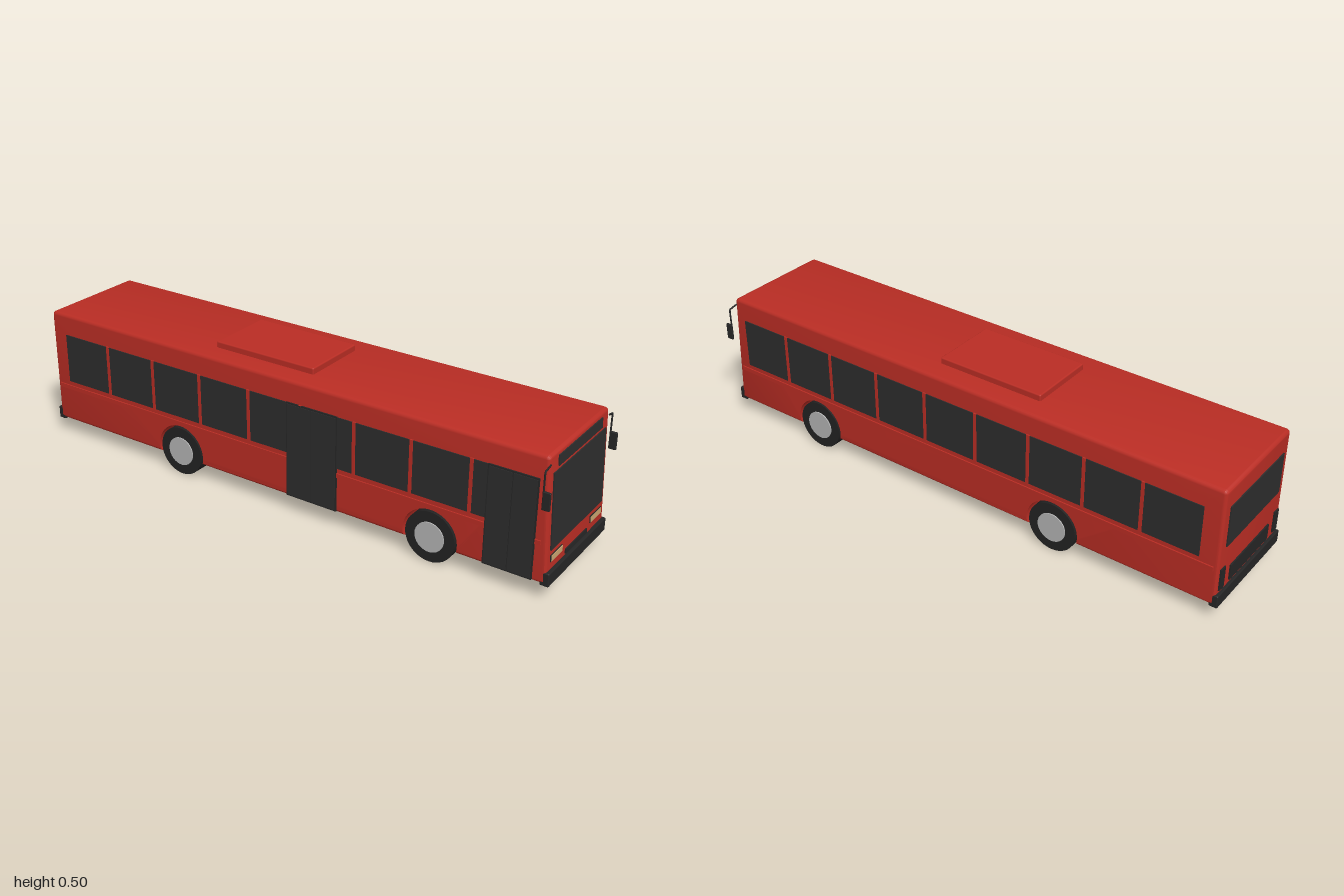
import * as THREE from 'three';
import { toCreasedNormals } from 'three/addons/utils/BufferGeometryUtils.js';
import { RoundedBoxGeometry } from 'three/addons/geometries/RoundedBoxGeometry.js';

const HALF = 0.204;                 // half width of the body
const AXLES = [0.595, -0.405];      // z of front and rear wheels
const WHEEL_R = 0.088, ARCH_R = 0.097, FLOOR = 0.06, ROOF = 0.48;
const SLOPE = 0.045;                // lean of the front face
const frontZ = (y) => 0.99 - (y - FLOOR) * SLOPE;

function material(name, color) {
  const m = new THREE.MeshStandardMaterial({ color });
  m.name = name;
  return m;
}

// Side profile with wheel arches, extruded across the width with rounded edges
function bodyGeometry() {
  const s = new THREE.Shape();
  const dy = WHEEL_R - FLOOR;
  const reach = Math.sqrt(ARCH_R ** 2 - dy ** 2), dip = Math.asin(dy / ARCH_R);
  const r = 0.015, top = frontZ(ROOF), back = -0.99;
  s.moveTo(back, FLOOR);
  for (const z of [...AXLES].reverse()) {
    s.lineTo(z - reach, FLOOR);
    s.absarc(z, WHEEL_R, ARCH_R, Math.PI + dip, -dip, true);
  }
  s.lineTo(frontZ(FLOOR), FLOOR);
  s.lineTo(frontZ(ROOF - r), ROOF - r);
  s.quadraticCurveTo(top, ROOF, top - r, ROOF);
  s.lineTo(back + r, ROOF);
  s.quadraticCurveTo(back, ROOF, back, ROOF - r);
  s.closePath();
  const b = 0.012;
  const g = new THREE.ExtrudeGeometry(s, {
    depth: 2 * (HALF - b), bevelThickness: b, bevelSize: b, bevelOffset: -b,
    bevelSegments: 3, curveSegments: 20,
  });
  g.translate(0, 0, b - HALF);
  // Keep the arches crisp: pull their bevelled rims back to the arch radius
  const p = g.attributes.position;
  for (let i = 0; i < p.count; i++) {
    for (const z of AXLES) {
      const dz = p.getX(i) - z, h = p.getY(i) - WHEEL_R, d = Math.hypot(dz, h);
      if (d < ARCH_R + 0.016) p.setXY(i, z + dz * ARCH_R / d, WHEEL_R + h * ARCH_R / d);
    }
  }
  g.rotateY(-Math.PI / 2);
  return toCreasedNormals(g, 0.6);
}

export function createModel() {
  const bus = new THREE.Group();
  bus.name = 'bus';
  const red = material('red paint', 0xba2d24);
  const glass = material('dark glass', 0x2d2d2d);
  const black = material('black trim', 0x262626);
  const rubber = material('tyre rubber', 0x222222);
  const silver = material('wheel silver', 0xb4b4b4);
  const amber = material('headlight amber', 0xc8a470);

  const add = (name, geo, mat, x = 0, y = 0, z = 0, parent = bus) => {
    const m = new THREE.Mesh(geo, mat);
    m.name = name;
    m.position.set(x, y, z);
    parent.add(m);
    return m;
  };
  // Box given by its limits on each axis
  const block = (name, mat, x0, x1, y0, y1, z0, z1, parent = bus) =>
    add(name, new THREE.BoxGeometry(x1 - x0, y1 - y0, z1 - z0), mat,
      (x0 + x1) / 2, (y0 + y1) / 2, (z0 + z1) / 2, parent);
  // Thin plate lying on the leaning front face
  const frontPlate = (name, mat, x0, x1, y0, y1, t = 0.008) => {
    const y = (y0 + y1) / 2;
    const m = add(name, new THREE.BoxGeometry(x1 - x0, y1 - y0, t), mat, (x0 + x1) / 2, y, frontZ(y));
    m.rotation.x = -Math.atan(SLOPE);
  };

  add('body', bodyGeometry(), red);
  add('roofHatch', new RoundedBoxGeometry(0.246, 0.03, 0.395, 2, 0.005), red, 0, 0.487, -0.0975);

  // Front face
  frontPlate('windscreen', glass, -0.18, 0.18, 0.167, 0.42);
  frontPlate('destinationPanel', glass, -0.15, 0.15, 0.431, 0.465);
  frontPlate('frontGrille', black, -0.075, 0.075, 0.104, 0.12);
  for (const s of [-1, 1]) {
    frontPlate('headlightBezel', black, s * 0.138 - 0.039, s * 0.138 + 0.039, 0.126, 0.149, 0.006);
    frontPlate('headlight', amber, s * 0.138 - 0.037, s * 0.138 + 0.037, 0.128, 0.147, 0.009);
  }
  add('frontBumper', new RoundedBoxGeometry(0.406, 0.046, 0.03, 2, 0.004), black, 0, 0.077, 0.985);

  // Rear face
  block('rearWindow', glass, -0.17, 0.17, 0.265, 0.41, -0.994, -0.986);
  block('rearGrille', black, -0.125, 0.125, 0.112, 0.168, -0.995, -0.986);
  for (const s of [-1, 1]) {
    block('rearLight', black, s * 0.175 - 0.014, s * 0.175 + 0.014, 0.112, 0.19, -0.995, -0.986);
  }
  add('rearBumper', new RoundedBoxGeometry(0.406, 0.046, 0.03, 2, 0.004), black, 0, 0.077, -0.985);

  // Side windows, pillars, belt strip and mirrors
  const PITCH = 0.2073, FIRST = -0.925;
  for (const s of [-1, 1]) {
    const side = new THREE.Group();
    side.name = s > 0 ? 'leftSide' : 'rightSide';
    bus.add(side);
    const plate = (name, mat, t, y0, y1, z0, z1) =>
      block(name, mat, s * HALF - t, s * HALF + t, y0, y1, z0, z1, side);
    for (let i = 0; i < 9; i++) {
      const z0 = FIRST + i * PITCH;
      plate('sideWindow', glass, 0.003, 0.222, 0.403, z0, z0 + PITCH - 0.012);
      if (i > 0) plate('windowPillar', red, 0.0049, 0.217, 0.405, z0 - 0.012, z0);
    }
    plate('beltStrip', red, 0.0045, 0.19, 0.205, -0.975, 0.965);

    const arm = new THREE.CurvePath();
    const pts = [[0.198, 0.453], [0.225, 0.448], [0.233, 0.443], [0.233, 0.37]]
      .map(([x, y]) => new THREE.Vector3(s * x, y, 0.972));
    arm.add(new THREE.LineCurve3(pts[0], pts[1]));
    arm.add(new THREE.QuadraticBezierCurve3(pts[1], new THREE.Vector3(s * 0.232, 0.448, 0.972), pts[2]));
    arm.add(new THREE.LineCurve3(pts[2], pts[3]));
    add('mirrorArm', new THREE.TubeGeometry(arm, 24, 0.003, 8), black, 0, 0, 0, side);
    add('mirror', new RoundedBoxGeometry(0.009, 0.06, 0.026, 2, 0.003), black, s * 0.233, 0.355, 0.983, side);
  }

  // Doors on the right side
  const doors = [['middleDoor', 0.053, 0.249], ['frontDoor', 0.781, 0.946]];
  for (const [name, z0, z1] of doors) {
    const door = new THREE.Group();
    door.name = name;
    bus.add(door);
    const mid = (z0 + z1) / 2;
    block('doorFrame', black, -HALF - 0.005, -HALF + 0.003, 0.065, 0.405, z0, z1, door);
    for (const [a, b] of [[z0 + 0.004, mid - 0.002], [mid + 0.002, z1 - 0.004]]) {
      block('doorLeaf', glass, -HALF - 0.007, -HALF, 0.07, 0.4, a, b, door);
    }
  }

  // Wheels; the rear tyres are wider
  AXLES.forEach((z, i) => {
    const inner = i === 0 ? 0.155 : 0.127, outer = 0.203;
    for (const s of [-1, 1]) {
      const wheel = new THREE.Group();
      wheel.name = i === 0 ? 'frontWheel' : 'rearWheel';
      wheel.position.set(s * (inner + outer) / 2, WHEEL_R, z);
      bus.add(wheel);
      const tyre = new THREE.CylinderGeometry(WHEEL_R, WHEEL_R, outer - inner, 40).rotateZ(Math.PI / 2);
      add('tyre', tyre, rubber, 0, 0, 0, wheel);
      const hub = new THREE.CylinderGeometry(0.052, 0.052, 0.008, 32).rotateZ(Math.PI / 2);
      add('hub', hub, silver, s * (outer - inner) / 2, 0, 0, wheel);
    }
  });
  return bus;
}
